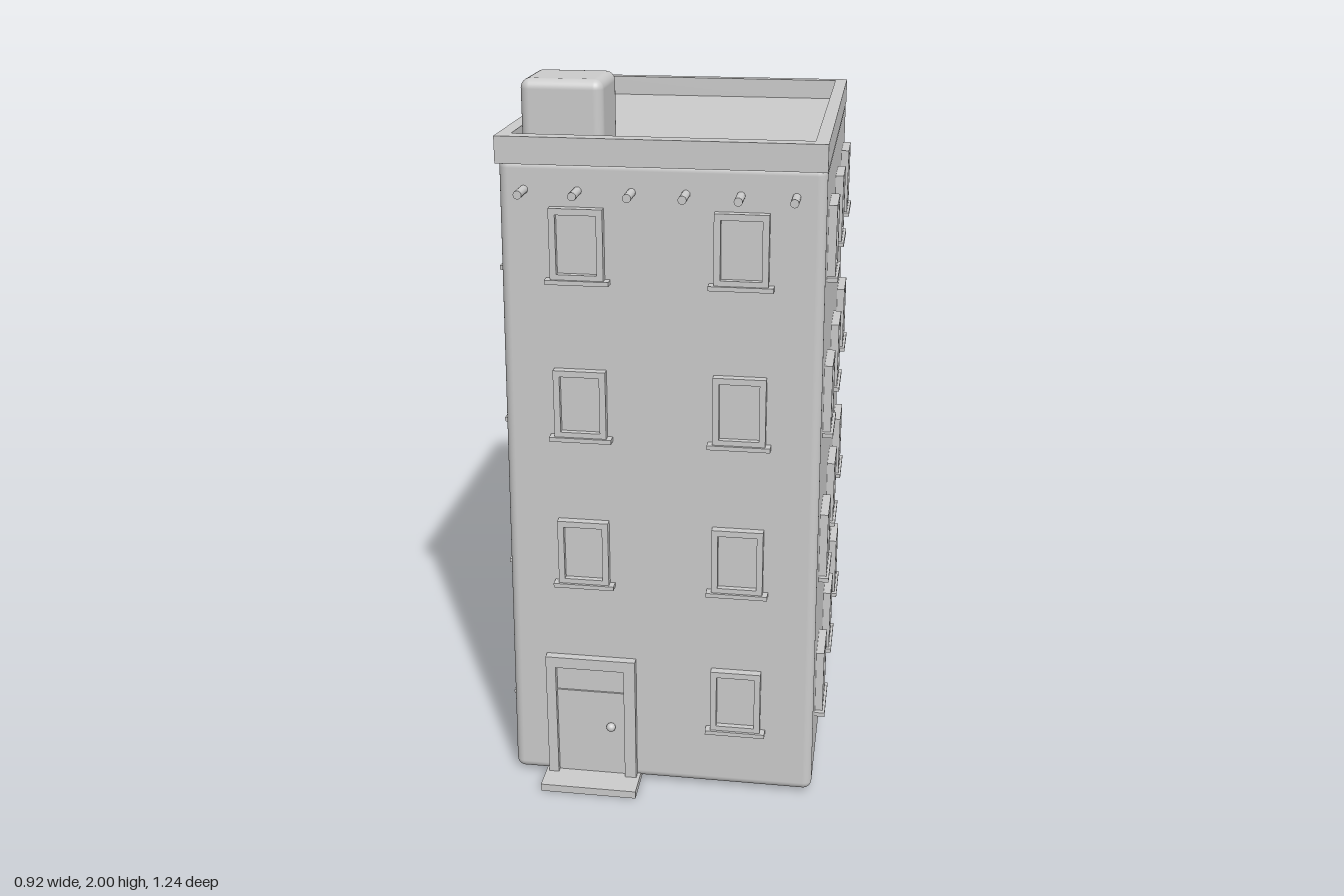
import * as THREE from 'three';
import { RoundedBoxGeometry } from 'three/addons/geometries/RoundedBoxGeometry.js';

const grey = new THREE.MeshStandardMaterial({ color: 0xcccccc });

function add(parent, name, geometry, x = 0, y = 0, z = 0) {
  const mesh = new THREE.Mesh(geometry, grey);
  mesh.name = name;
  mesh.position.set(x, y, z);
  parent.add(mesh);
  return mesh;
}

// Flat rectangular ring, extruded along +z
function ring(w, h, holeW, holeH, depth, holeY = 0) {
  const rect = (s, a, b, cy) => s.moveTo(-a, cy - b).lineTo(a, cy - b).lineTo(a, cy + b).lineTo(-a, cy + b).closePath();
  const shape = rect(new THREE.Shape(), w / 2, h / 2, 0);
  shape.holes.push(rect(new THREE.Path(), holeW / 2, holeH / 2, holeY));
  return new THREE.ExtrudeGeometry(shape, { depth, bevelEnabled: false });
}

// Wall positions taper slightly from the bottom to the top
const BASE = 0.01, TOP = 1.81;
const lean = (a, b, y) => THREE.MathUtils.lerp(a, b, (y - BASE) / (TOP - BASE));
const wall = {
  front: y => lean(0.533, 0.515, y),
  back: y => lean(-0.592, -0.58, y),
  right: y => lean(0.43, 0.42, y),
  left: y => lean(-0.434, -0.415, y),
};

function bodyGeometry() {
  const g = new RoundedBoxGeometry(1, TOP - BASE, 1, 4, 0.025);
  const p = g.attributes.position;
  for (let i = 0; i < p.count; i++) {
    const y = p.getY(i) + (TOP + BASE) / 2;
    // Keep the corner radius while moving each side to its wall
    const fit = (v, lo, hi) => (v > 0 ? hi + (v - 0.5) : lo + (v + 0.5));
    p.setXYZ(i, fit(p.getX(i), wall.left(y), wall.right(y)), y, fit(p.getZ(i), wall.back(y), wall.front(y)));
  }
  return g;
}

// Window facing +z, wall plane at z = 0
const frameGeo = ring(0.14, 0.19, 0.106, 0.156, 0.042);
const paneGeo = new THREE.BoxGeometry(0.11, 0.16, 0.02);
const sillGeo = new THREE.BoxGeometry(0.168, 0.012, 0.05);
function makeWindow() {
  const w = new THREE.Group();
  w.name = 'window';
  add(w, 'windowFrame', frameGeo, 0, 0, -0.02);
  add(w, 'windowPane', paneGeo, 0, 0, -0.004);
  add(w, 'windowSill', sillGeo, 0, -0.098, 0.004);
  return w;
}

export function createModel() {
  const model = new THREE.Group();
  model.name = 'building';
  add(model, 'walls', bodyGeometry());

  // Parapet around the flat roof
  const parapet = add(model, 'parapet', ring(0.842, 1.1, 0.772, 1.024, 0.07, 0.005), 0, 1.796, -0.03);
  parapet.rotation.x = -Math.PI / 2;

  // Roof hut
  add(model, 'roofHut', new RoundedBoxGeometry(0.214, 0.215, 0.198, 4, 0.025), -0.259, 1.8925, 0.361);

  // Windows: four storeys on each side
  const sides = [
    { side: 'front', turn: 0, at: [-0.213, 0.211] },
    { side: 'back', turn: Math.PI, at: [-0.213, 0.213] },
    { side: 'right', turn: Math.PI / 2, at: [0.337, -0.03, -0.4] },
    { side: 'left', turn: -Math.PI / 2, at: [0.337, -0.4] },
  ];
  for (const { side, turn, at } of sides) {
    const alongX = side === 'front' || side === 'back';
    for (let floor = 0; floor < 4; floor++) {
      const y = 0.294 + floor * 0.4335;
      for (const c of at) {
        if (side === 'front' && floor === 0 && c < 0) continue; // the door is here
        const w = makeWindow();
        const d = wall[side](y);
        w.position.set(alongX ? c : d, y, alongX ? d : c);
        w.rotation.y = turn;
        model.add(w);
      }
    }
  }

  // Door with frame, panels, knob and step
  const door = new THREE.Group();
  door.name = 'door';
  door.position.set(-0.201, 0, wall.front(0.2));
  model.add(door);
  const jamb = new THREE.Shape([[-0.128, 0.012], [-0.1, 0.012], [-0.1, 0.367], [0.095, 0.367], [0.095, 0.012],
    [0.128, 0.012], [0.128, 0.4], [-0.128, 0.4]].map(([x, y]) => new THREE.Vector2(x, y)));
  add(door, 'doorFrame', new THREE.ExtrudeGeometry(jamb, { depth: 0.05, bevelEnabled: false }), 0, 0, -0.028);
  add(door, 'doorLeaf', new THREE.BoxGeometry(0.196, 0.272, 0.024), -0.002, 0.152, -0.006);
  add(door, 'doorTopPanel', new THREE.BoxGeometry(0.196, 0.078, 0.02), -0.002, 0.329, -0.006);
  add(door, 'doorKnob', new THREE.SphereGeometry(0.013, 16, 12), 0.055, 0.18, 0.014);
  add(door, 'doorStep', new THREE.BoxGeometry(0.275, 0.022, 0.12), 0, 0.011, 0.031);

  // Row of beam ends under the parapet
  const beam = new THREE.CylinderGeometry(0.011, 0.011, 0.1, 16).rotateX(Math.PI / 2);
  for (let i = 0; i < 6; i++) add(model, 'beamEnd', beam, -0.349 + i * 0.1388, 1.731, 0.534);

  return model;
}
